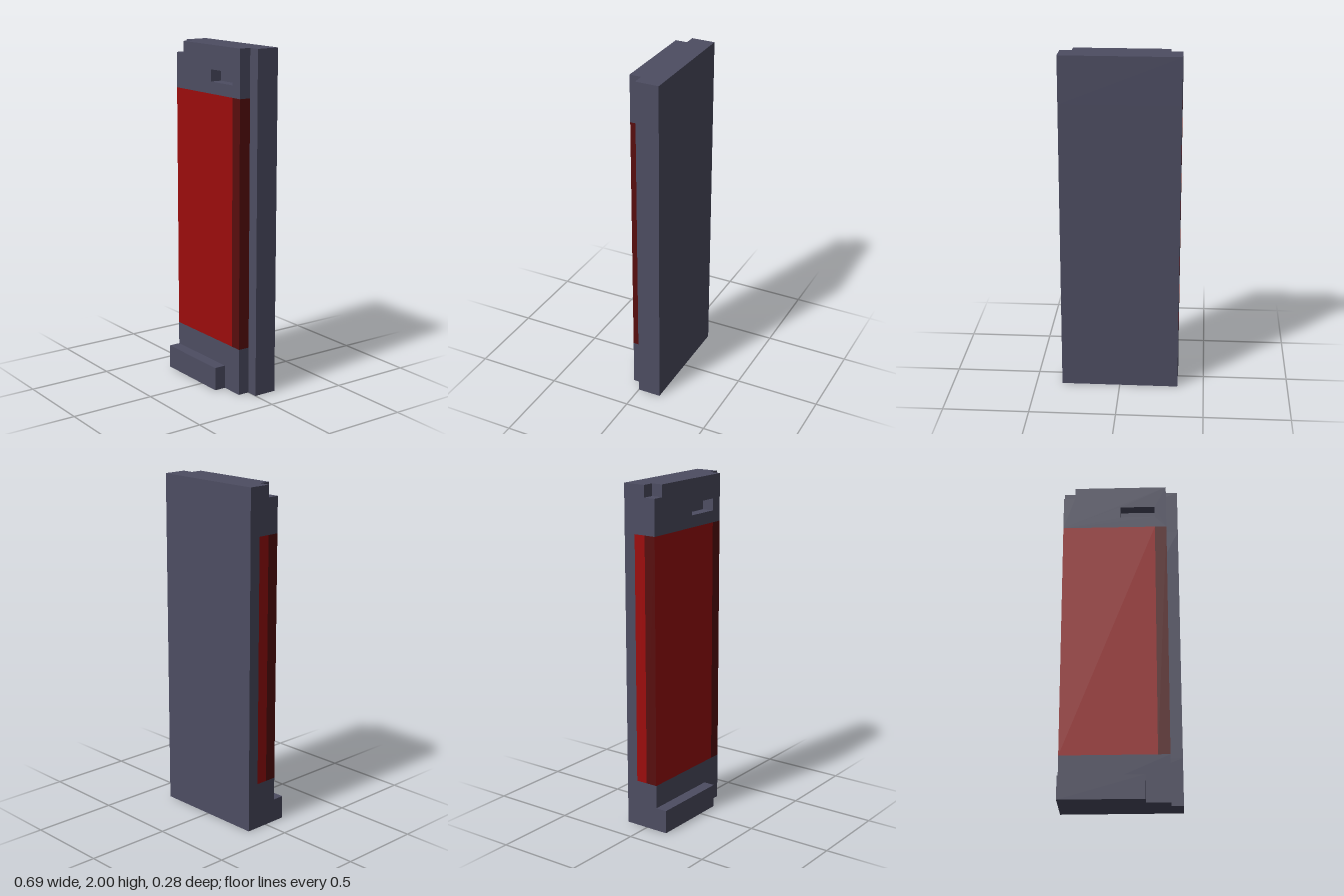
import * as THREE from 'three';

const U = 2 / 29; // modelling grid: 10 wide, 29 tall, 4 deep

function material(name, color) {
  const m = new THREE.MeshStandardMaterial({ color });
  m.name = name;
  return m;
}

export function createModel() {
  const model = new THREE.Group();
  model.name = 'steppedPanel';
  const grey = material('slateGrey', 0x4d4d62);
  const red = material('red', 0x9c0c0c);
  const darkRed = material('darkRed', 0x580d0d);

  // Box between grid limits; mat may be an array in the order +x -x +y -y +z -z
  function box(name, [x0, x1], [y0, y1], [z0, z1], mat) {
    const geo = new THREE.BoxGeometry((x1 - x0) * U, (y1 - y0) * U, (z1 - z0) * U);
    const mesh = new THREE.Mesh(geo, mat);
    mesh.position.set((x0 + x1) / 2 * U, (y0 + y1) / 2 * U, (z0 + z1) / 2 * U);
    mesh.name = name;
    model.add(mesh);
  }

  // Back slab, with a red band let into its -x edge
  box('backSlabBottom', [-5, 5], [0, 4], [-2, 0], grey);
  box('backSlabRear', [-5, 5], [4, 25], [-2, -1], grey);
  box('backSlabCore', [-5, 5], [4, 25], [-1, 0], [grey, red, grey, grey, grey, grey]);
  box('backSlabTop', [-5, 5], [25, 29], [-2, 0], grey);

  // Front layer: grey foot, red panel and dark red edge strip
  box('frontFoot', [-5, 4], [0, 4], [0, 1], grey);
  box('redPanel', [-5, 3], [4, 25], [0, 1], [red, darkRed, red, red, red, red]);
  box('darkEdgeStrip', [3, 4], [4, 25], [0, 1], darkRed);

  // Front head with a notched corner and a slot
  const outline = [[-5, 25], [4, 25], [4, 29], [-4, 29], [-4, 28], [-5, 28]];
  const slot = [[0, 26], [0, 27], [3, 27], [3, 26]];
  const points = (list) => list.map(([x, y]) => new THREE.Vector2(x * U, y * U));
  const headShape = new THREE.Shape(points(outline));
  headShape.holes.push(new THREE.Path(points(slot)));
  const head = new THREE.Mesh(
    new THREE.ExtrudeGeometry(headShape, { depth: U, bevelEnabled: false }), grey);
  head.name = 'frontHead';
  model.add(head);

  // Raised ledge at the bottom front
  box('bottomLedge', [-5, 2], [0, 2], [1, 2], grey);

  return model;
}
